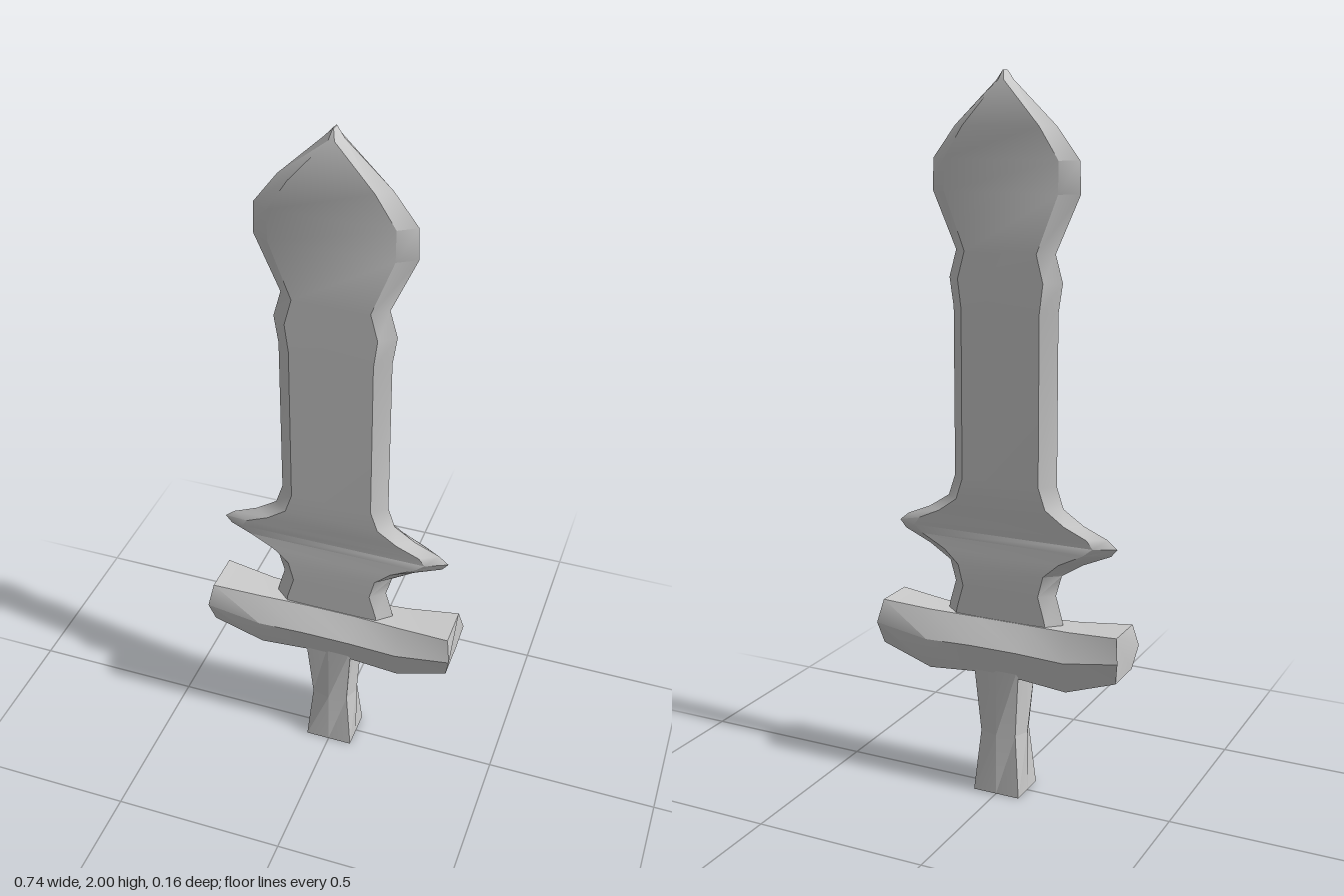
import * as THREE from 'three';
import { toCreasedNormals } from 'three/addons/utils/BufferGeometryUtils.js';

// Skins a row of closed rings (each a list of [x, y, z]) and caps both ends
function loft(rings, crease) {
  const n = rings[0].length;
  const index = [];
  for (let i = 0; i < rings.length - 1; i++) {
    for (let j = 0; j < n; j++) {
      const k = (j + 1) % n;
      const a = i * n + j, b = i * n + k, c = b + n, d = a + n;
      index.push(a, b, c, a, c, d);
    }
  }
  const last = (rings.length - 1) * n;
  for (let j = 1; j < n - 1; j++) {
    index.push(0, j + 1, j, last, last + j, last + j + 1);
  }
  const geometry = new THREE.BufferGeometry();
  geometry.setAttribute('position', new THREE.Float32BufferAttribute(rings.flat(2), 3));
  geometry.setIndex(index);
  return toCreasedNormals(geometry, crease);
}

function part(name, geometry) {
  const mesh = new THREE.Mesh(geometry, new THREE.MeshStandardMaterial({ color: 0xcccccc }));
  mesh.name = name;
  return mesh;
}

// Blade: [height, half width, half width of the flat, half thickness]
function blade() {
  const rows = [
    [0.45, 0.185, 0.145, 0.034], [0.53, 0.175, 0.135, 0.034],
    [0.60, 0.155, 0.115, 0.034], [0.66, 0.172, 0.13, 0.034],
    [0.70, 0.235, 0.175, 0.032], [0.735, 0.315, 0.245, 0.029],
    [0.757, 0.333, 0.272, 0.028], [0.78, 0.305, 0.255, 0.029],
    [0.81, 0.235, 0.19, 0.032], [0.85, 0.175, 0.135, 0.034],
    [0.91, 0.155, 0.115, 0.035], [1.38, 0.155, 0.115, 0.034],
    [1.46, 0.167, 0.125, 0.034], [1.535, 0.146, 0.105, 0.033],
    [1.69, 0.215, 0.165, 0.032], [1.775, 0.212, 0.165, 0.031],
    [1.86, 0.147, 0.11, 0.03], [1.975, 0.025, 0.008, 0.026],
    [2.0, 0.002, 0.001, 0.012],
  ];
  const rings = rows.map(([y, w, f, t]) => [
    [w, y, 0], [f, y, -t], [-f, y, -t], [-w, y, 0], [-f, y, t], [f, y, t],
  ]);
  return part('blade', loft(rings, 0.6));
}

// Crossguard: hexagonal sections swept along x, mirrored left to right
function guard() {
  // [x at middle, x at rims, top y, top z, middle y, bottom y, bottom z]
  const half = [
    [0.37, 0.358, 0.53, 0.06, 0.465, 0.40, 0.06],
    [0.21, 0.21, 0.518, 0.045, 0.44, 0.347, 0.055],
    [0.07, 0.07, 0.515, 0.036, 0.445, 0.36, 0.056],
  ];
  const ring = ([xm, xr, ty, tz, my, by, bz], s) => [
    [s * xr, ty, -tz], [s * xr, ty, tz], [s * xm, my, 0.08],
    [s * xr, by, bz], [s * xr, by, -bz], [s * xm, my, -0.08],
  ];
  const rings = [
    ...half.map((h) => ring(h, -1)),
    ...half.slice().reverse().map((h) => ring(h, 1)),
  ];
  return part('crossguard', loft(rings, 0.6));
}

// Grip: a square bar whose corners are pinched in at mid height
function grip() {
  const W = 0.07, D = 0.06;
  const ring = (y, c) => [
    [W, y, 0], [W * c, y, -D * c], [0, y, -D], [-W * c, y, -D * c],
    [-W, y, 0], [-W * c, y, D * c], [0, y, D], [W * c, y, D * c],
  ];
  return part('grip', loft([ring(0, 1), ring(0.18, 0.76), ring(0.4, 1)], 0.1));
}

export function createModel() {
  const model = new THREE.Group();
  model.name = 'sword';
  model.add(blade(), guard(), grip());
  return model;
}
